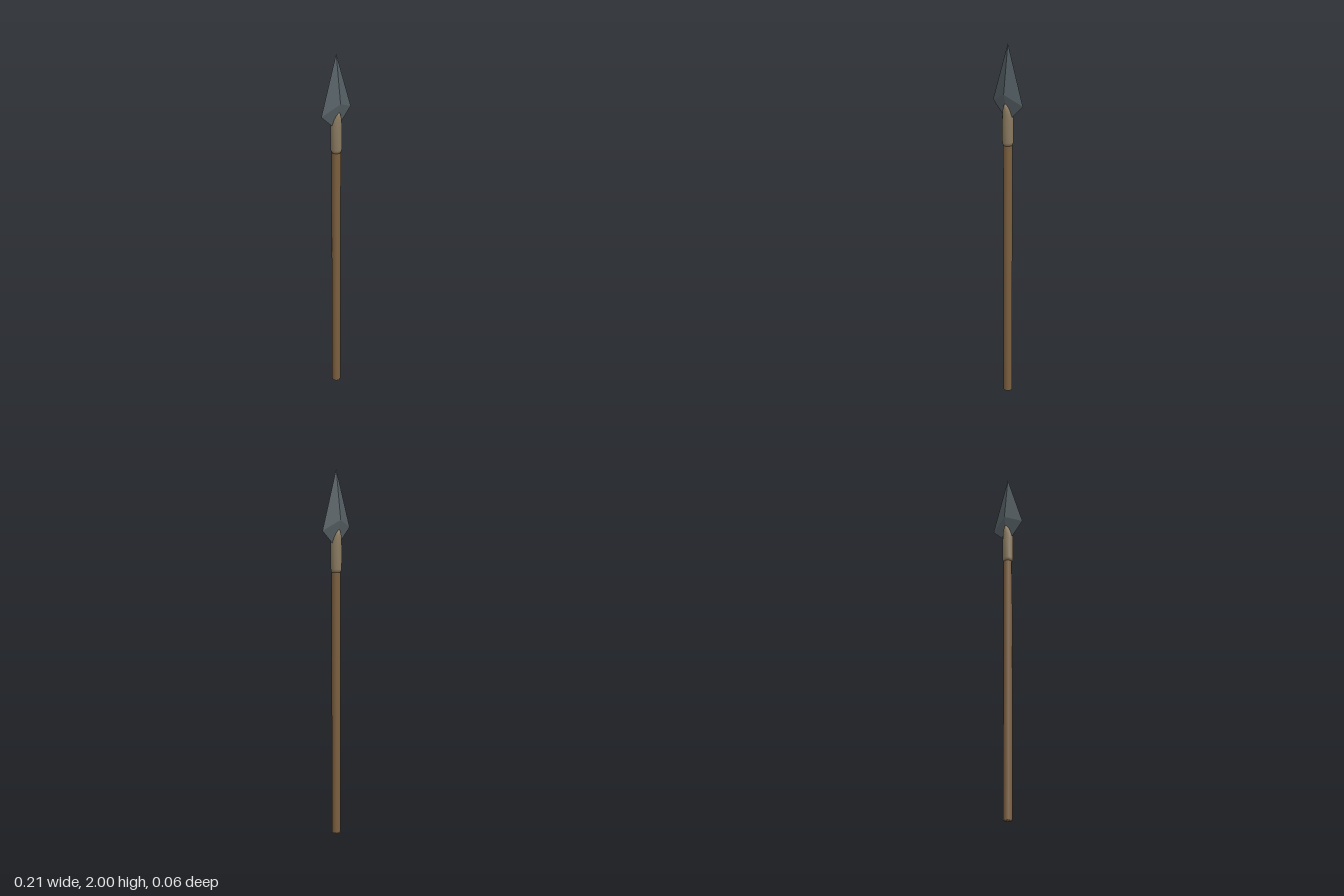
import * as THREE from 'three';
import { mergeVertices } from 'three/addons/utils/BufferGeometryUtils.js';

const profile = (pts, sides) =>
  new THREE.LatheGeometry(pts.map(([r, y]) => new THREE.Vector2(r, y)), sides);

// Move every vertex of a geometry by a rule
function reshape(geometry, rule) {
  const pos = geometry.attributes.position;
  const v = new THREE.Vector3();
  for (let i = 0; i < pos.count; i++) {
    rule(v.fromBufferAttribute(pos, i));
    pos.setXYZ(i, v.x, v.y, v.z);
  }
  return geometry;
}

export function createModel() {
  const group = new THREE.Group();
  const add = (name, geometry, color, options = {}) => {
    const mesh = new THREE.Mesh(geometry, new THREE.MeshStandardMaterial({ color, ...options }));
    mesh.name = name;
    group.add(mesh);
  };

  // Wooden pole, smooth around its butt end
  add('shaft', profile([[0, 0], [0.024, 0], [0.024, 1.5]], 8), 0x7d6040);

  // Socket: round below, narrowing in x to two tongues that grip the blade
  const socket = profile([
    [0, 1.465], [0.026, 1.465], [0.03, 1.482], [0.03, 1.6], [0.03, 1.63],
    [0.03, 1.655], [0.028, 1.675], [0.024, 1.688], [0, 1.692],
  ], 12);
  reshape(socket, (v) => {
    const t = THREE.MathUtils.clamp((v.y - 1.6) / 0.095, 0, 1);
    v.x *= Math.sqrt(1 - t * t);
  });
  socket.deleteAttribute('normal');
  socket.deleteAttribute('uv');
  const socketSmooth = mergeVertices(socket, 1e-5);
  socketSmooth.computeVertexNormals();
  add('socket', socketSmooth, 0x8a7a60);

  // Faceted blade: an octahedron with side barbs set below the central ridge
  const blade = reshape(new THREE.OctahedronGeometry(1), (v) => {
    const y = v.y > 0.5 ? 2 : v.y < -0.5 ? 1.59 : Math.abs(v.x) > 0.5 ? 1.69 : 1.74;
    v.set(v.x * 0.103, y, v.z * 0.032);
  });
  blade.computeVertexNormals();
  add('blade', blade, 0x566065, { flatShading: true });

  return group;
}
